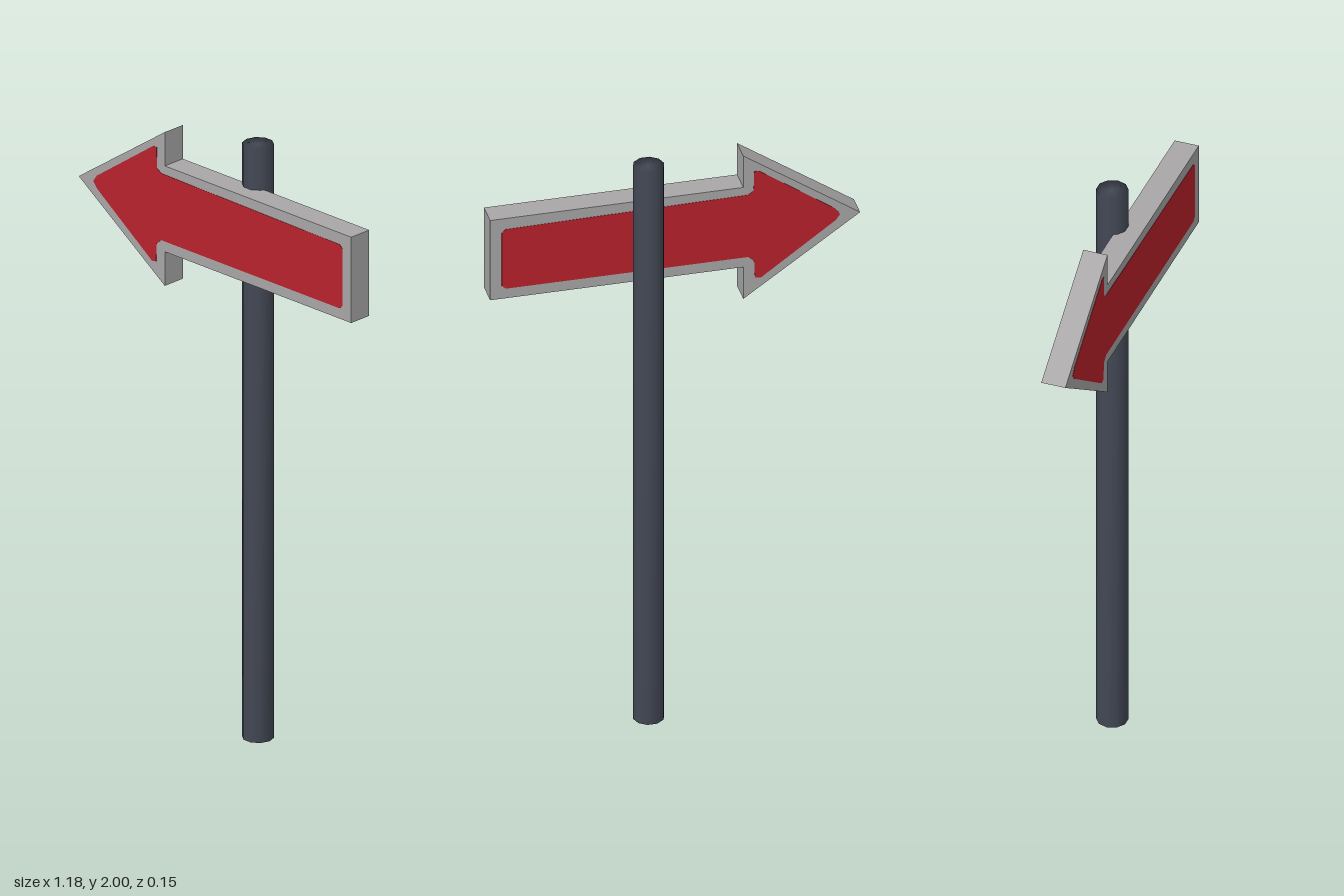
import * as THREE from 'three';
import { mergeVertices } from 'three/addons/utils/BufferGeometryUtils.js';

const grey = new THREE.MeshStandardMaterial({ color: 0xa8a6a6 });
grey.name = 'board grey';
const red = new THREE.MeshStandardMaterial({ color: 0xb8222c });
red.name = 'arrow red';
const slate = new THREE.MeshStandardMaterial({ color: 0x434854 });
slate.name = 'pole slate';

const BACK = -0.007, FRONT = 0.073, PLATE = 0.002;

// Flat outline extruded from z to z + depth
function slab(name, points, z, depth, material) {
  const shape = new THREE.Shape(points.map(([x, y]) => new THREE.Vector2(x, y)));
  const geometry = new THREE.ExtrudeGeometry(shape, { depth, bevelEnabled: false });
  const mesh = new THREE.Mesh(geometry, material);
  mesh.name = name;
  mesh.position.z = z;
  return mesh;
}

export function createModel() {
  const group = new THREE.Group();
  group.name = 'arrowSign';

  // Ten-sided pole, normals smoothed over the rims
  let poleGeometry = new THREE.CylinderGeometry(0.05, 0.05, 2, 10, 1, false, Math.PI / 2);
  poleGeometry.deleteAttribute('uv');
  poleGeometry.deleteAttribute('normal');
  poleGeometry = mergeVertices(poleGeometry, 1e-4);
  poleGeometry.computeVertexNormals();
  const pole = new THREE.Mesh(poleGeometry, slate);
  pole.name = 'pole';
  pole.position.set(0.088, 1, -0.026);
  group.add(pole);

  // Arrow-shaped board
  group.add(slab('arrowBoard', [
    [-0.594, 1.717], [-0.22, 1.458], [-0.22, 1.573], [0.59, 1.573],
    [0.59, 1.862], [-0.22, 1.862], [-0.22, 1.976],
  ], BACK, FRONT - BACK, grey));

  // Red arrow panels on both faces, with softened corners
  const panel = [
    [-0.53, 1.72], [-0.515, 1.7], [-0.275, 1.527], [-0.257, 1.53],
    [-0.255, 1.59], [-0.235, 1.608], [0.54, 1.608], [0.553, 1.62],
    [0.553, 1.812], [0.54, 1.823], [-0.235, 1.833], [-0.253, 1.845],
    [-0.255, 1.915], [-0.27, 1.915], [-0.515, 1.742],
  ];
  group.add(slab('frontPanel', panel, FRONT - PLATE / 2, PLATE, red));
  group.add(slab('backPanel', panel, BACK - PLATE / 2, PLATE, red));
  return group;
}
